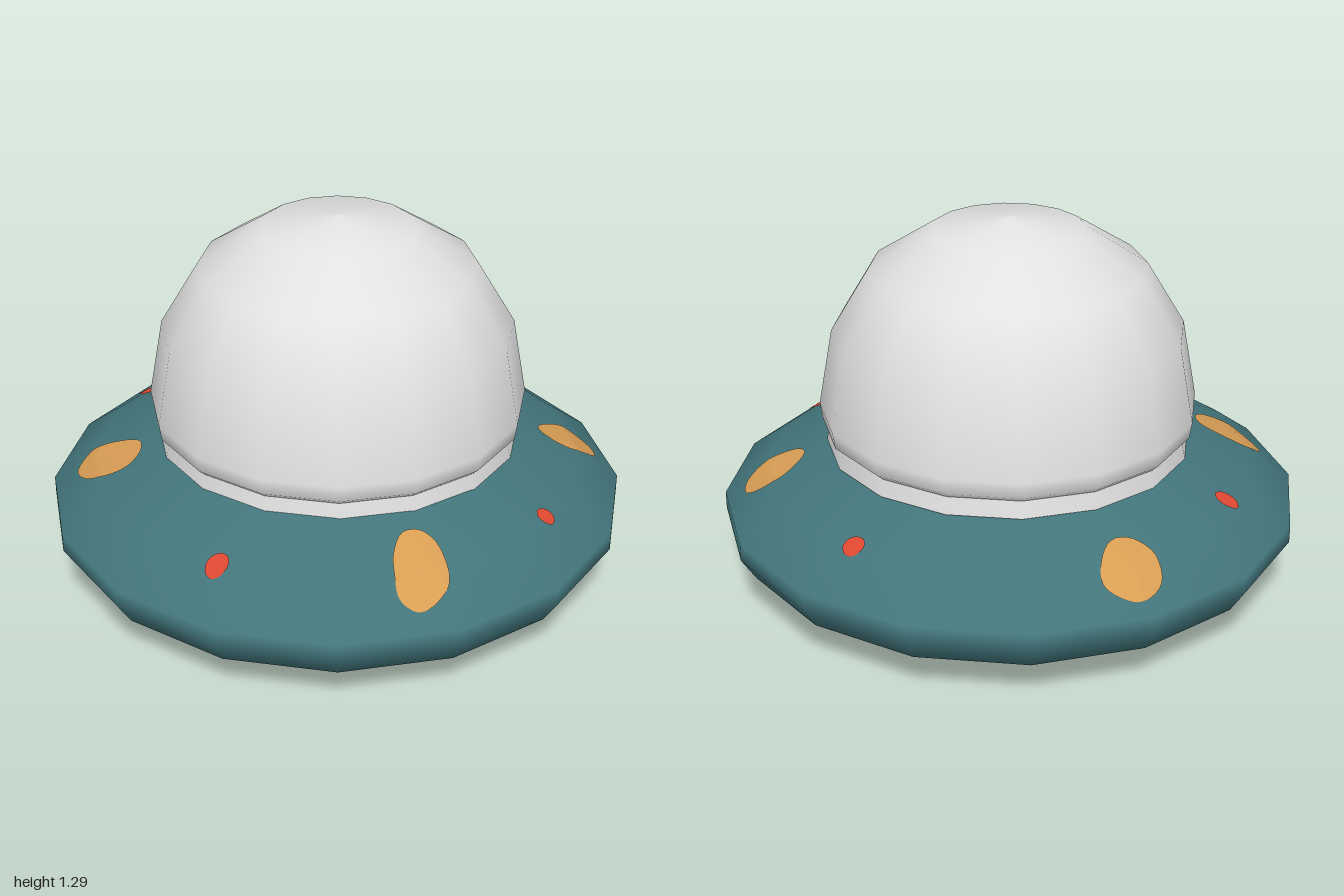
import * as THREE from 'three';

const SIDES = 16;
const mat = (name, color, side = THREE.FrontSide) => {
  const m = new THREE.MeshStandardMaterial({ color, side });
  m.name = name;
  return m;
};

// Upper slope of the saucer as [radius, height], outside to inside
const SLOPE = [[1, 0.29], [0.85, 0.4], [0.61, 0.505], [0.5, 0.53]];

// Height of the faceted upper slope at x, z
function slopeHeight(x, z) {
  const step = (2 * Math.PI) / SIDES;
  const angle = Math.atan2(z, x);
  const off = angle - (Math.floor(angle / step) + 0.5) * step;
  const r = Math.hypot(x, z) * Math.cos(off) / Math.cos(step / 2);
  let i = 0;
  while (i < SLOPE.length - 2 && r < SLOPE[i + 1][0]) i++;
  const [r0, y0] = SLOPE[i], [r1, y1] = SLOPE[i + 1];
  return y0 + (y1 - y0) * (r - r0) / (r1 - r0);
}

// Thin patch that follows the slope, from an outline of [x, z] points
function spotGeometry(outline) {
  const curve = new THREE.CatmullRomCurve3(outline.map(([x, z]) => new THREE.Vector3(x, 0, z)), true);
  const n = 32, rings = 6;
  const edge = curve.getPoints(n).slice(0, n);
  const centre = new THREE.Vector3();
  edge.forEach((p) => centre.addScaledVector(p, 1 / n));
  const pos = [], index = [];
  const put = (x, z) => pos.push(x, slopeHeight(x, z) + 0.005, z);
  put(centre.x, centre.z);
  for (let k = 1; k <= rings; k++) {
    for (let i = 0; i < n; i++) {
      const p = centre.clone().lerp(edge[i], k / rings);
      put(p.x, p.z);
      const a = 1 + (k - 1) * n + i, b = 1 + (k - 1) * n + (i + 1) % n;
      if (k === 1) index.push(0, b, a);
      else index.push(a - n, b, a, a - n, b - n, b);
    }
  }
  const g = new THREE.BufferGeometry();
  g.setAttribute('position', new THREE.Float32BufferAttribute(pos, 3));
  g.setIndex(index);
  g.computeVertexNormals();
  return g;
}

const oval = (x, z, rx, rz) => Array.from({ length: 8 }, (_, i) => {
  const a = (i / 8) * Math.PI * 2;
  return [x + rx * Math.cos(a), z + rz * Math.sin(a)];
});

export function createModel() {
  const group = new THREE.Group();
  const teal = mat('teal', 0x42757b);
  const white = mat('white', 0xe2e2e2, THREE.DoubleSide);
  const orange = mat('orange', 0xd89d54, THREE.DoubleSide);
  const red = mat('red', 0xdd4731, THREE.DoubleSide);

  const add = (name, geometry, material) => {
    const mesh = new THREE.Mesh(geometry, material);
    mesh.name = name;
    group.add(mesh);
    return mesh;
  };
  const lathe = (points) =>
    new THREE.LatheGeometry(points.map(([r, y]) => new THREE.Vector2(r, y)), SIDES);

  // Saucer body
  add('saucer', lathe([[0, 0], [0.47, 0], [0.68, 0.047], [0.95, 0.15], [1, 0.23], ...SLOPE]), teal);

  // Dome with a small flared collar
  add('dome', lathe([[0.62, 0.555], [0.642, 0.575], [0.65, 0.63], [0.6, 0.9],
    [0.47, 1.115], [0.26, 1.25], [0, 1.29]]), white).position.z = -0.015;
  add('domeCollar', lathe([[0.63, 0.495], [0.615, 0.565]]), white).position.z = -0.015;

  // Large orange spots
  const blobs = [
    [[-0.67, -0.68], [-0.62, -0.705], [-0.54, -0.7], [-0.513, -0.63], [-0.52, -0.55], [-0.58, -0.503], [-0.66, -0.52], [-0.7, -0.59]],
    [[0.64, -0.32], [0.66, -0.41], [0.7, -0.455], [0.8, -0.455], [0.835, -0.39], [0.81, -0.33], [0.76, -0.29], [0.68, -0.285]],
    [[-0.815, 0.4], [-0.79, 0.32], [-0.7, 0.3], [-0.61, 0.315], [-0.575, 0.38], [-0.59, 0.45], [-0.66, 0.485], [-0.75, 0.465]],
    [[0.44, 0.52], [0.49, 0.487], [0.55, 0.5], [0.625, 0.59], [0.63, 0.64], [0.58, 0.727], [0.51, 0.727], [0.47, 0.67], [0.44, 0.6]],
  ];
  blobs.forEach((b, i) => add(`orangeSpot${i + 1}`, spotGeometry(b), orange));

  // Small red spots
  const dots = [[0.26, -0.785, 0.036, 0.034], [-0.8, -0.115, 0.04, 0.033],
    [0.81, 0.155, 0.03, 0.031], [-0.07, 0.825, 0.038, 0.042]];
  dots.forEach((d, i) => add(`redSpot${i + 1}`, spotGeometry(oval(...d)), red));

  return group;
}
